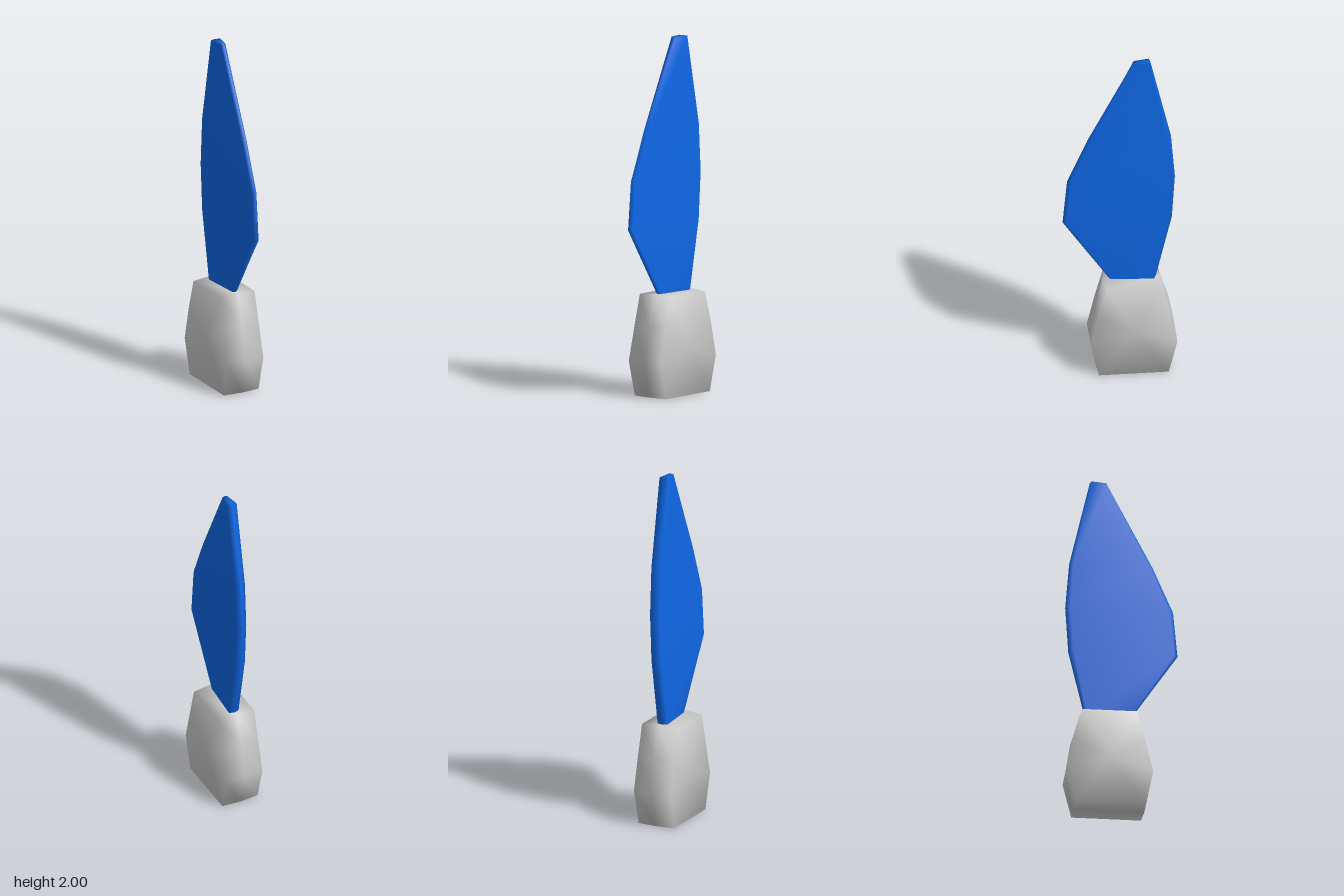
import * as THREE from 'three';

// Skin a stack of rings (counter-clockwise seen from the advance direction), closing both ends with fans.
function loft(rings, startCentre, endCentre) {
  const n = rings[0].length;
  const points = [...rings.flat(), startCentre, endCentre];
  const start = points.length - 2, end = points.length - 1;
  const index = [];
  for (let r = 0; r < rings.length - 1; r++) {
    for (let i = 0; i < n; i++) {
      const a = r * n + i, b = r * n + (i + 1) % n;
      index.push(a, b, b + n, a, b + n, a + n);
    }
  }
  const last = (rings.length - 1) * n;
  for (let i = 0; i < n; i++) {
    const j = (i + 1) % n;
    index.push(start, j, i, end, last + i, last + j);
  }
  const geometry = new THREE.BufferGeometry();
  geometry.setAttribute('position', new THREE.Float32BufferAttribute(points.flat(), 3));
  geometry.setIndex(index);
  geometry.computeVertexNormals();
  return geometry;
}

// Blade: six-sided section, thick at the back and thin at the front edge.
function bladeGeometry() {
  const levels = [ // y, front z, back z
    [0.572, 0.055, -0.205],
    [0.96, 0.315, -0.295],
    [1.23, 0.29, -0.312],
    [1.5, 0.175, -0.29],
    [2.0, -0.08, -0.175],
  ];
  const rings = levels.map(([y, front, back]) => {
    const chord = front - back;
    const spine = back + 0.04 * chord + 0.003, edge = front - 0.035 * chord;
    return [
      [0, y, back], [-0.03, y, spine], [-0.014, y, edge],
      [0, y, front], [0.014, y, edge], [0.03, y, spine],
    ];
  });
  return loft(rings, [0, 0.572, -0.08], [0, 2.0, -0.13]);
}

// Handle: eight-sided side profile, slightly fuller along the middle than at the two sides.
function handleGeometry() {
  const middle = [ // z, y
    [0.13, 0], [-0.275, 0], [-0.315, 0.2], [-0.285, 0.39],
    [-0.232, 0.574], [0.085, 0.574], [0.133, 0.39], [0.168, 0.2],
  ];
  const ring = (side) => middle.map(([z, y]) => {
    const belly = y === 0.2;
    const inset = side !== 0 && !belly ? 0.008 : 0;
    const zSide = z + (z > -0.08 ? -inset : inset);
    const ySide = y > 0.5 ? y - inset : y;
    return [side * (belly ? 0.115 : 0.11), ySide, zSide];
  });
  return loft([ring(-1), ring(0), ring(1)], [-0.115, 0.28, -0.075], [0.115, 0.28, -0.075]);
}

export function createModel() {
  const model = new THREE.Group();
  const addPart = (name, geometry, color) => {
    const mesh = new THREE.Mesh(geometry, new THREE.MeshStandardMaterial({ color }));
    mesh.name = name;
    model.add(mesh);
  };
  addPart('handle', handleGeometry(), 0xcccccc);
  addPart('blade', bladeGeometry(), 0x0f68e8);
  return model;
}
